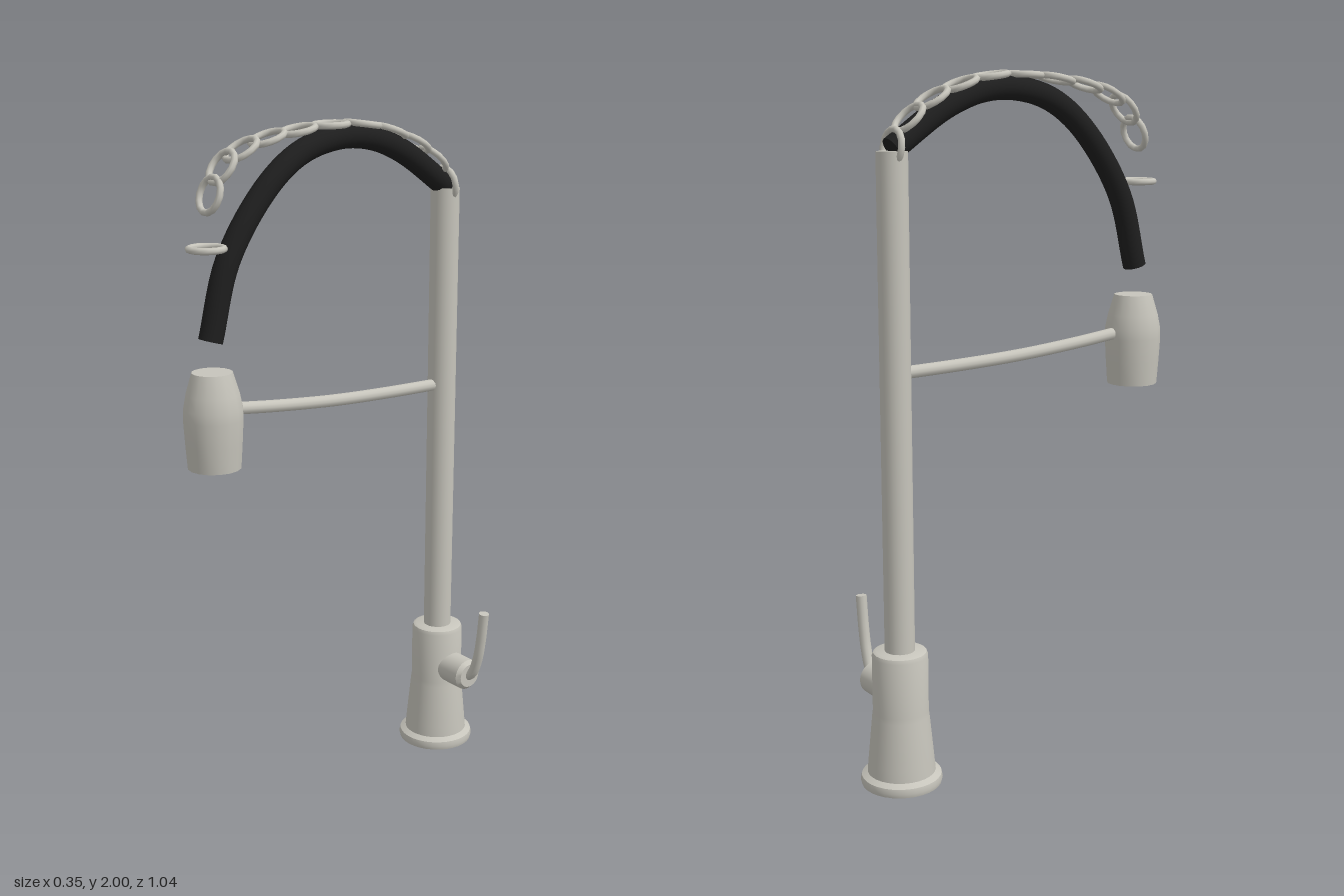
import * as THREE from 'three';
import { toCreasedNormals } from 'three/addons/utils/BufferGeometryUtils.js';

const X = -0.06;        // centre plane of the tap
const COLUMN_Z = -0.4;  // column axis
const HEAD_Z = 0.433;   // spray head axis

export function createModel() {
  const group = new THREE.Group();
  const steel = new THREE.MeshStandardMaterial({ color: 0xc6c4bb });
  steel.name = 'brushedSteel';
  const rubber = new THREE.MeshStandardMaterial({ color: 0x1e1e1e });
  rubber.name = 'blackRubber';

  const add = (name, geometry, material, x = 0, y = 0, z = 0) => {
    const mesh = new THREE.Mesh(geometry, material);
    mesh.name = name;
    mesh.position.set(x, y, z);
    group.add(mesh);
    return mesh;
  };
  const lathe = (profile, sides) => toCreasedNormals(
    new THREE.LatheGeometry(profile.map(([r, y]) => new THREE.Vector2(r, y)), sides), 0.6);

  // Round bar along a curve, closed by a disc at both ends
  const bar = (name, points, radius, material, segments, sides) => {
    const curve = new THREE.CatmullRomCurve3(points.map(p => new THREE.Vector3(...p)));
    add(name, new THREE.TubeGeometry(curve, segments, radius, sides), material);
    for (const t of [0, 1]) {
      const out = curve.getTangent(t).multiplyScalar(t ? 1 : -1);
      const p = curve.getPoint(t);
      add(name + 'End', new THREE.CircleGeometry(radius, sides), material, p.x, p.y, p.z)
        .quaternion.setFromUnitVectors(new THREE.Vector3(0, 0, 1), out);
    }
  };

  // Flared base and tall column
  add('base', lathe([[0, 0], [0.115, 0], [0.118, 0.012], [0.115, 0.026], [0.098, 0.036],
    [0.095, 0.07], [0.082, 0.205], [0.08, 0.22], [0.08, 0.385], [0.076, 0.396],
    [0.068, 0.4], [0, 0.4]], 32), steel, X, 0, COLUMN_Z);
  add('column', new THREE.CylinderGeometry(0.043, 0.043, 1.41, 24), steel, X, 1.085, COLUMN_Z);

  // Side valve with its curved lever
  add('valve', lathe([[0, 0], [0.049, 0], [0.049, 0.148], [0.038, 0.16], [0, 0.16]], 24),
    steel, X, 0.268, COLUMN_Z).rotation.z = -Math.PI / 2;
  bar('lever', [[0.085, 0.262, COLUMN_Z], [0.112, 0.282, COLUMN_Z], [0.135, 0.34, COLUMN_Z],
    [0.148, 0.41, COLUMN_Z], [0.158, 0.5, COLUMN_Z]], 0.016, steel, 20, 12);

  // Arched hose
  bar('hose', [[X, 1.435, 0.435], [X, 1.65, 0.372], [X, 1.835, 0.24], [X, 1.92, 0.125],
    [X, 1.953, 0], [X, 1.948, -0.11], [X, 1.905, -0.23], [X, 1.795, -0.4]],
  0.034, rubber, 48, 20);

  // Spring rings along the hose: z, y, tilt in degrees
  const rings = [
    [0.44, 1.685, 0], [0.425, 1.825, 72], [0.385, 1.895, 56], [0.323, 1.937, 33],
    [0.238, 1.963, 20], [0.137, 1.979, 12], [0.026, 1.989, 2], [-0.085, 1.986, -8],
    [-0.185, 1.963, -21], [-0.275, 1.926, -32], [-0.347, 1.875, -45], [-0.398, 1.8, -83],
  ];
  const ringGeometry = new THREE.TorusGeometry(0.048, 0.0095, 8, 14);
  for (const [z, y, tilt] of rings) {
    add('springRing', ringGeometry, steel, X, y, z).rotation.x =
      THREE.MathUtils.degToRad(tilt - 90);
  }

  // Spray head and the arm that holds it
  add('sprayHead', lathe([[0, 1.08], [0.075, 1.08], [0.08, 1.15], [0.084, 1.22], [0.083, 1.25],
    [0.075, 1.29], [0.057, 1.35], [0, 1.35]], 16), steel, X, 0, HEAD_Z);
  bar('arm', [[X, 1.238, 0.37], [X, 1.222, 0.22], [X, 1.206, 0.02], [X, 1.198, -0.18],
    [X, 1.194, -0.4]], 0.018, steel, 24, 12);

  return group;
}
